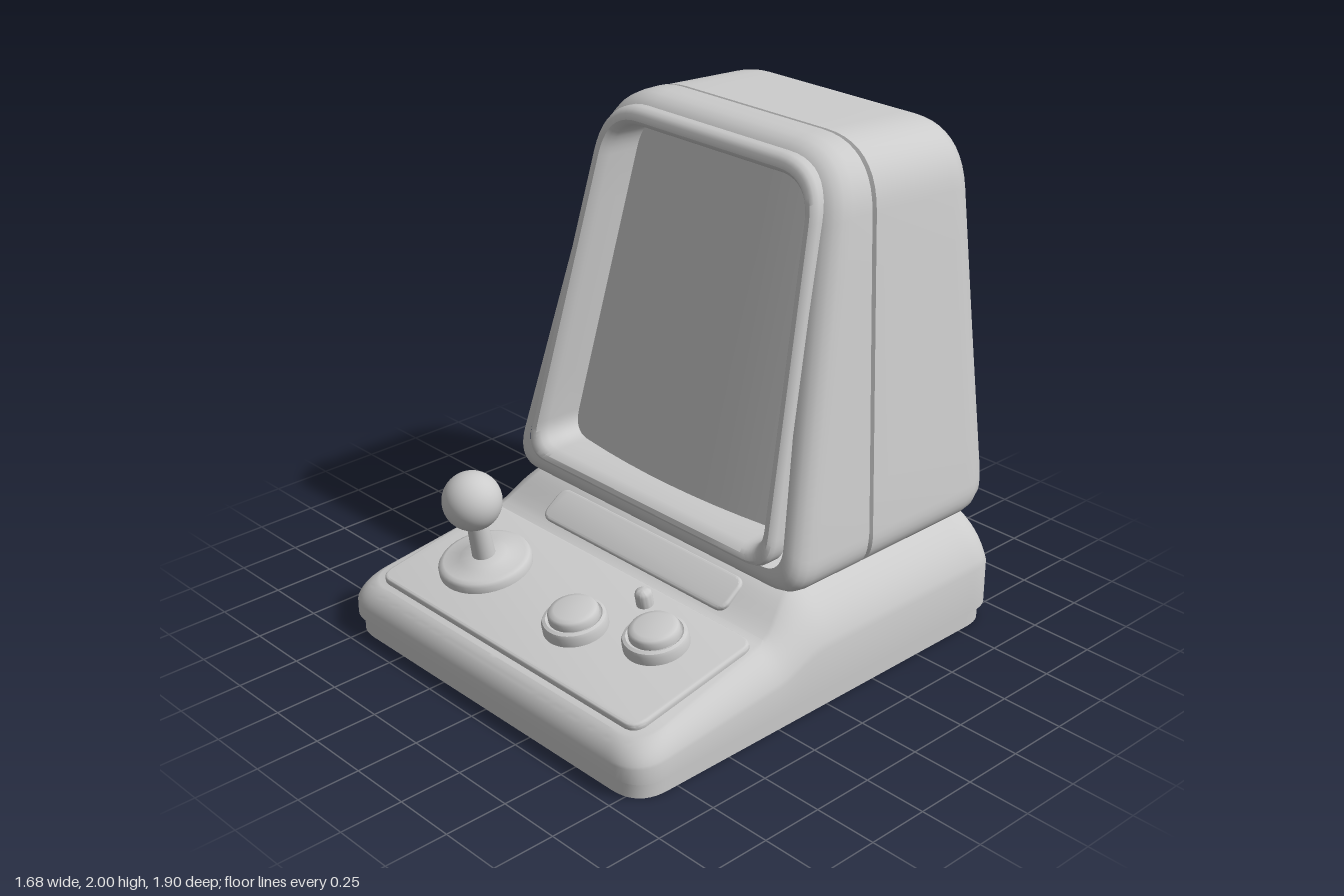
import * as THREE from 'three';
import { toCreasedNormals } from 'three/addons/utils/BufferGeometryUtils.js';

const grey = new THREE.MeshStandardMaterial({ color: 0xcccccc });
const greyBoth = new THREE.MeshStandardMaterial({ color: 0xcccccc, side: THREE.DoubleSide });

// Rounded trapezoid, counter-clockwise, with the same point count every time
function outline(bottomHalf, topHalf, y0, y1, rBottom, rTop, sideSteps = 6) {
  const corners = [
    [bottomHalf, y0, rBottom], [topHalf, y1, rTop], [-topHalf, y1, rTop], [-bottomHalf, y0, rBottom],
  ].map(([x, y, r]) => ({ p: new THREE.Vector2(x, y), r }));
  const toward = (a, b) => a.p.clone().add(b.p.clone().sub(a.p).setLength(a.r));
  const points = [];
  corners.forEach((c, i) => {
    const prev = corners[(i + 3) % 4], next = corners[(i + 1) % 4];
    const end = toward(c, next);
    points.push(...new THREE.QuadraticBezierCurve(toward(c, prev), c.p, end).getPoints(10));
    const nextStart = toward(next, c);
    for (let k = 1; k < sideSteps; k++) points.push(end.clone().lerp(nextStart, k / sideSteps));
  });
  return points;
}

// Skin a list of closed rings (arrays of [x, y, z])
function loft(rings, crease = 0.6) {
  const n = rings[0].length, index = [];
  for (let r = 0; r < rings.length - 1; r++) {
    for (let i = 0; i < n; i++) {
      const j = (i + 1) % n;
      const a = r * n + i, b = r * n + j, c = a + n, d = b + n;
      index.push(a, c, b, b, c, d);
    }
  }
  const geo = new THREE.BufferGeometry();
  geo.setAttribute('position', new THREE.Float32BufferAttribute(rings.flat(2), 3));
  geo.setIndex(index);
  return toCreasedNormals(geo, crease);
}

function add(parent, name, geo, x = 0, y = 0, z = 0, material = grey) {
  const mesh = new THREE.Mesh(geo, material);
  mesh.name = name;
  mesh.position.set(x, y, z);
  parent.add(mesh);
  return mesh;
}

// Flat rounded plate lying on y = 0
function plate(width, depth, height, radius) {
  const bevel = 0.012;
  const shape = new THREE.Shape(outline(width / 2 - bevel, width / 2 - bevel,
    -depth / 2 + bevel, depth / 2 - bevel, radius, radius, 1));
  const geo = new THREE.ExtrudeGeometry(shape, {
    depth: height - bevel, bevelEnabled: true, bevelSize: bevel, bevelThickness: bevel, bevelSegments: 3,
  });
  return toCreasedNormals(geo.rotateX(-Math.PI / 2), 0.6);
}

function turned(profile) {
  const points = profile.map(([r, y]) => new THREE.Vector2(r, y));
  return toCreasedNormals(new THREE.LatheGeometry(points, 40), 0.7);
}

// Height of the base's top: sloped deck, S-curve, then a level shelf
function deckHeight(z) {
  const slope = 0.2 + (0.92 - z) * 0.185;
  const t = THREE.MathUtils.clamp((0.26 - z) / 0.24, 0, 1);
  return slope + (0.46 - slope) * t * t * (3 - 2 * t);
}

// Slanted front plane of the cabinet and its slanted seam
const frontZ = (y) => 0.14 - 0.243 * (y - 0.53);
const seamZ = (y) => -0.24 - 0.103 * (y - 0.45);

function baseGeometry() {
  const foot = outline(0.84, 0.84, -0.95, 0.95, 0.14, 0.14, 50);
  const wall = (inset, y) => foot.map((p) => [p.x * (1 - inset / 0.84), y, p.y * (1 - inset / 0.95)]);
  const rings = [wall(0.017, 0), wall(0.017, 0.065), wall(0, 0.07)];
  for (let k = 0; k <= 10; k++) {
    const a = (k / 10) * Math.PI / 2;
    const f = 0.6 * (1 - Math.cos(a)) + 0.4 * k / 10;
    const g = 0.6 * Math.sin(a) + 0.4 * k / 10;
    rings.push(foot.map((p) => {
      const raise = deckHeight(p.y) - 0.2;
      const z = p.y * (1 - 0.065 * f / 0.95);
      const top = deckHeight(z);
      const shoulder = top - 0.07 - Math.max(raise, 0) * 0.54;
      const x = p.x * (1 - (0.06 + Math.max(raise, 0) * 0.45) * f / 0.84);
      return [x, shoulder + (top - shoulder) * g, z];
    }));
  }
  // top surface closes along the centre line
  rings.push(rings.at(-1).map(([, y, z]) => [0, y, z]));
  return loft(rings, 0.5);
}

function cabinetGeometry() {
  const section = (d, zAt, drop = 0) =>
    outline(0.8 - d, 0.6 - d, 0.45 + d, 2 - d - drop, 0.14 - d * 0.4, 0.24 - d * 0.6)
      .map((p) => [p.x, p.y, zAt(p.y)]);
  const front = (offset) => (y) => frontZ(y) + offset;
  const seam = (offset) => (y) => seamZ(y) + offset;
  const flat = (z) => () => z;
  const rings = [
    section(0.09, front(0)), section(0.065, front(0)), section(0.04, front(-0.01)),
    section(0.018, front(-0.03)), section(0.005, front(-0.06)), section(0, front(-0.1)),
    section(0, seam(0.012)), section(0.014, seam(0.006)), section(0.014, seam(-0.006)),
    section(0, seam(-0.012), 0.004), section(0, flat(-0.8), 0.025),
    section(0.006, flat(-0.85), 0.027), section(0.025, flat(-0.9), 0.028),
    section(0.055, flat(-0.935), 0.028), section(0.1, flat(-0.95), 0.028),
  ];
  rings.push(rings.at(-1).map(([, y, z]) => [0, y, z]));
  return loft(rings);
}

// Raised rounded lip around the recessed screen: t = 0 inner edge, t = 1 outer edge
function bezelGeometry() {
  const mix = THREE.MathUtils.lerp;
  const ring = (t, offset) => outline(mix(0.625, 0.68, t), mix(0.515, 0.56, t),
    mix(0.585, 0.54, t), mix(1.9, 1.96, t), mix(0.1, 0.12, t), mix(0.15, 0.2, t))
    .map((p) => [p.x, p.y, frontZ(p.y) + offset]);
  return loft([
    ring(-0.4, -0.19), ring(-0.35, -0.08), ring(-0.25, 0), ring(-0.05, 0.025), ring(0.2, 0.038),
    ring(0.6, 0.04), ring(0.85, 0.032), ring(1, 0.015), ring(1, -0.04),
  ]);
}

// Screen bulges forward along its centre line
function screenGeometry() {
  const edge = outline(0.64, 0.53, 0.57, 1.92, 0.1, 0.14);
  return loft([0, 0.2, 0.4, 0.6, 0.8, 1].map((s) => edge.map((p) => {
    const x = p.x * s;
    return [x, p.y, frontZ(p.y) - 0.1 - 0.05 * (x / 0.6) ** 2];
  })));
}

export function createModel() {
  const model = new THREE.Group();
  model.name = 'tabletopArcadeMachine';

  add(model, 'base', baseGeometry(), 0, 0, 0, greyBoth);
  add(model, 'cabinet', cabinetGeometry());
  add(model, 'screenBezel', bezelGeometry());
  add(model, 'screen', screenGeometry());

  // Strip on the curve between deck and cabinet
  const strip = add(model, 'infoStrip', plate(1.02, 0.15, 0.02, 0.035), 0, deckHeight(0.165) - 0.004, 0.165);
  strip.rotation.x = 0.62;

  // Tilted control panel and everything mounted on it
  const controls = new THREE.Group();
  controls.name = 'controls';
  controls.position.set(0, deckHeight(0.57), 0.57);
  controls.rotation.x = Math.atan(0.185);
  model.add(controls);
  add(controls, 'controlPanel', plate(1.46, 0.59, 0.024, 0.05));

  const joystick = new THREE.Group();
  joystick.name = 'joystick';
  joystick.position.set(-0.43, 0.02, 0);
  controls.add(joystick);
  add(joystick, 'joystickBase', turned([
    [0.182, 0], [0.182, 0.03], [0.174, 0.042], [0.158, 0.048], [0.1, 0.052], [0.09, 0.06], [0, 0.06],
  ]));
  add(joystick, 'joystickShaft', new THREE.CylinderGeometry(0.038, 0.046, 0.24, 32), 0, 0.15, 0);
  add(joystick, 'joystickBall', new THREE.SphereGeometry(0.115, 40, 28), 0, 0.305, 0);

  const button = turned([
    [0.123, 0], [0.123, 0.038], [0.118, 0.05], [0.106, 0.055], [0.099, 0.05],
    [0.095, 0.05], [0.095, 0.075], [0.088, 0.085], [0.07, 0.09], [0, 0.092],
  ]);
  [[0.14, 0.04], [0.455, -0.07]].forEach(([x, z]) => add(controls, 'button', button, x, 0.02, z));

  add(controls, 'smallButton', turned([
    [0.033, 0], [0.033, 0.05], [0.029, 0.062], [0.018, 0.07], [0, 0.073],
  ]), 0.25, 0.02, -0.205);

  return model;
}
